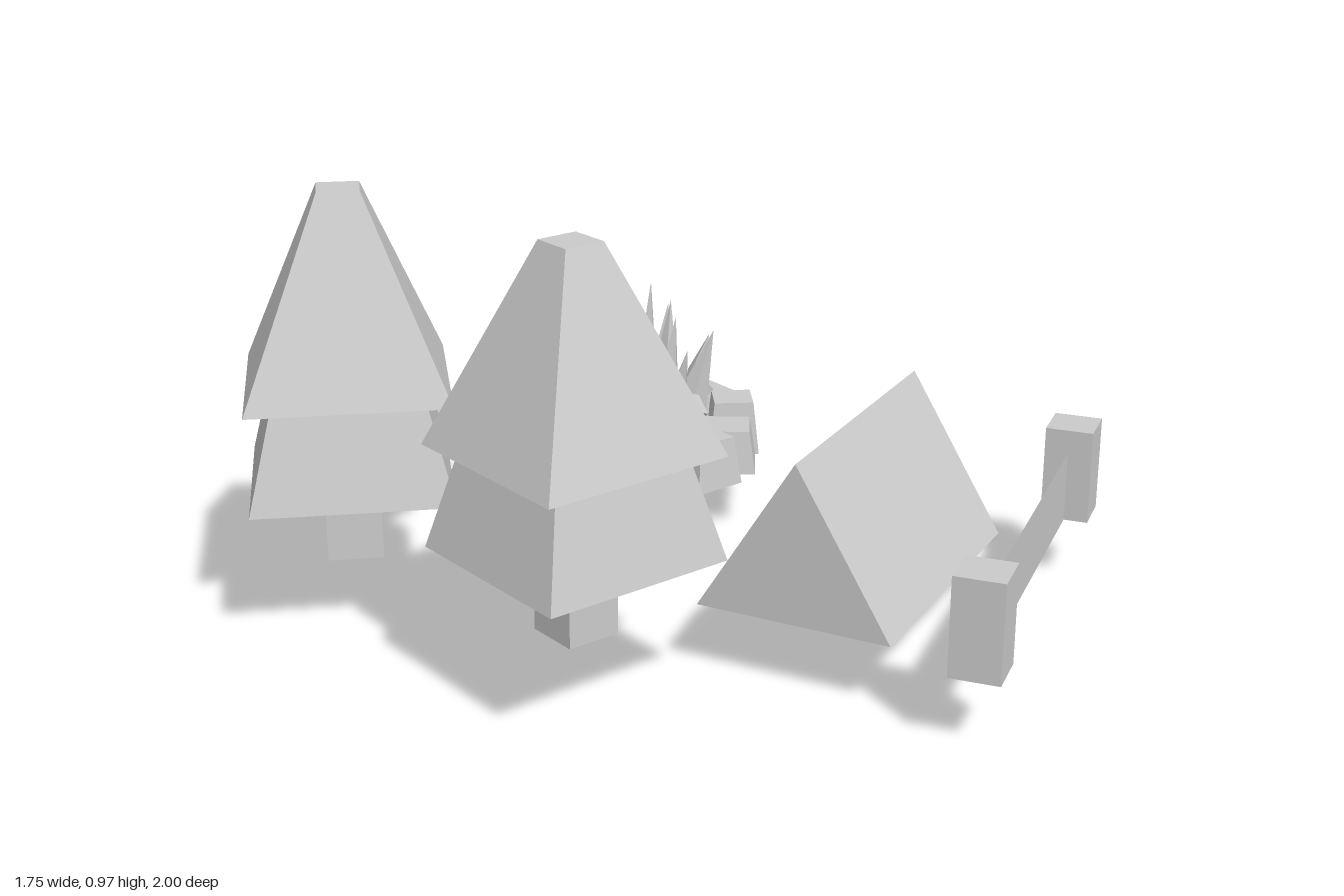
import * as THREE from 'three';

const GROUND = 0.15;
const material = new THREE.MeshStandardMaterial({ color: 0xcccccc, flatShading: true, side: THREE.DoubleSide });

function add(parent, name, geometry, x = 0, y = 0, z = 0) {
  const mesh = new THREE.Mesh(geometry, material);
  mesh.name = name;
  mesh.position.set(x, y, z);
  parent.add(mesh);
  return mesh;
}

function group(parent, name, x, z, turn = 0) {
  const g = new THREE.Group();
  g.name = name;
  g.position.set(x, GROUND, z);
  g.rotation.y = turn;
  parent.add(g);
  return g;
}

// Square frustum standing on y = 0, sized by half widths
function frustum(bottom, top, height) {
  return new THREE.CylinderGeometry(top * Math.SQRT2, bottom * Math.SQRT2, height, 4)
    .rotateY(Math.PI / 4).translate(0, height / 2, 0);
}

// Points a mesh's y axis from one point to another
function aim(mesh, from, to) {
  mesh.position.copy(from);
  mesh.quaternion.setFromUnitVectors(new THREE.Vector3(0, 1, 0), to.clone().sub(from).normalize());
}

function tree(parent, name, x, z, turn) {
  const g = group(parent, name, x, z, turn);
  add(g, 'trunk', frustum(0.06, 0.06, 0.18));
  add(g, 'lowerFoliage', frustum(0.215, 0.16, 0.22), 0, 0.17, 0);
  add(g, 'upperFoliage', frustum(0.215, 0.045, 0.425), 0, 0.39, 0);
}

function triangle(ShapeType, halfWidth, height) {
  const s = new ShapeType();
  s.moveTo(-halfWidth, 0);
  s.lineTo(halfWidth, 0);
  s.lineTo(0, height);
  s.closePath();
  return s;
}

// Ridge tent with a recessed entrance at one end
function tent(parent) {
  const g = group(parent, 'tent', 0.2, 0.416, 0.415);
  const length = 0.645, recess = 0.04;
  const prism = (shape, depth) =>
    new THREE.ExtrudeGeometry(shape, { depth, bevelEnabled: false }).rotateY(Math.PI / 2);
  add(g, 'tentBody', prism(triangle(THREE.Shape, 0.215, 0.35), length - recess), -length / 2);
  const end = triangle(THREE.Shape, 0.215, 0.35);
  const hole = new THREE.Path();
  hole.moveTo(-0.13, 0.002);
  hole.lineTo(0, 0.31);
  hole.lineTo(0.13, 0.002);
  hole.closePath();
  end.holes.push(hole);
  add(g, 'tentEntrance', prism(end, recess), length / 2 - recess);
}

// Two posts joined by a thin panel
function fence(parent) {
  const g = group(parent, 'fence', 0.428, 0.71, Math.PI / 6);
  for (const side of [-1, 1]) add(g, 'fencePost', frustum(0.053, 0.053, 0.215), side * 0.43);
  add(g, 'fencePanel', new THREE.PlaneGeometry(0.86, 0.16), 0, 0.08, 0);
}

function flatRock(parent, x, z, radius, topRadius, height, turn) {
  add(parent, 'flatRock', new THREE.CylinderGeometry(topRadius, radius, height, 6, 1, false, turn),
    x, GROUND + height / 2, z);
}

function campfire(parent) {
  const g = group(parent, 'campfire', 0.265, -0.4);
  const polar = (a, r, y) => new THREE.Vector3(r * Math.sin(a), y, r * Math.cos(a));

  // Ring of squared stones, uneven in height and angle
  for (let i = 0; i < 11; i++) {
    const a = i / 11 * Math.PI * 2;
    const size = 0.065 + 0.004 * Math.sin(i * 2.3);
    const stone = add(g, 'ringStone', frustum(size, size * 0.78, 0.115 + 0.015 * Math.sin(i * 4.1)));
    stone.position.copy(polar(a, 0.222 + 0.008 * Math.cos(i * 3.7), 0));
    stone.rotation.y = a + 0.3 * Math.sin(i * 1.9);
  }

  // Leaning logs crossing at the middle, their lower ends sunk in the pit
  for (let i = 0; i < 7; i++) {
    const a = i / 7 * Math.PI * 2 + 0.35;
    const top = polar(a, 0.15, 0.16 + 0.03 * Math.sin(i * 2.6));
    const bottom = polar(a + Math.PI + 0.5, 0.1, -0.075 + 0.02 * Math.sin(i * 1.7));
    const log = add(g, 'log', frustum(0.028, 0.028, top.distanceTo(bottom)));
    aim(log, bottom, top);
  }
  // Deepest log
  const low = new THREE.Vector3(-0.05, -0.13, -0.09);
  const high = new THREE.Vector3(0.08, 0.13, 0.1);
  aim(add(g, 'log', frustum(0.028, 0.028, low.distanceTo(high))), low, high);

  // Flames: count, foot radius, tip radius, tip height
  const rings = [[9, 0.09, 0.17, 0.31], [6, 0.05, 0.09, 0.365], [1, 0, 0.02, 0.44]];
  rings.forEach(([count, footR, tipR, tipY], k) => {
    for (let i = 0; i < count; i++) {
      const a = i / count * Math.PI * 2 + k * 0.4;
      const foot = polar(a, footR, 0.04);
      const tip = polar(a + 0.2 * Math.sin(i * 2.1), tipR, tipY + 0.04 * Math.sin(i * 2.9));
      const height = tip.distanceTo(foot);
      // Four-sided spindle with a short point underneath
      const profile = [[0, -0.11], [0.05, 0], [0.042, 0.09], [0, height]].map(p => new THREE.Vector2(...p));
      const flame = add(g, 'flame', new THREE.LatheGeometry(profile, 4, i * 0.9));
      aim(flame, foot, tip);
    }
  });
}

export function createModel() {
  const model = new THREE.Group();
  model.name = 'campsite';
  tree(model, 'frontTree', -0.452, 0.295, 0);
  tree(model, 'backTree', -0.584, -0.341, -Math.PI / 6);
  tent(model);
  fence(model);
  flatRock(model, -0.297, -0.755, 0.155, 0.125, 0.04, 0.79);
  flatRock(model, -0.034, -0.895, 0.105, 0.082, 0.027, 0.04);
  campfire(model);
  return model;
}
